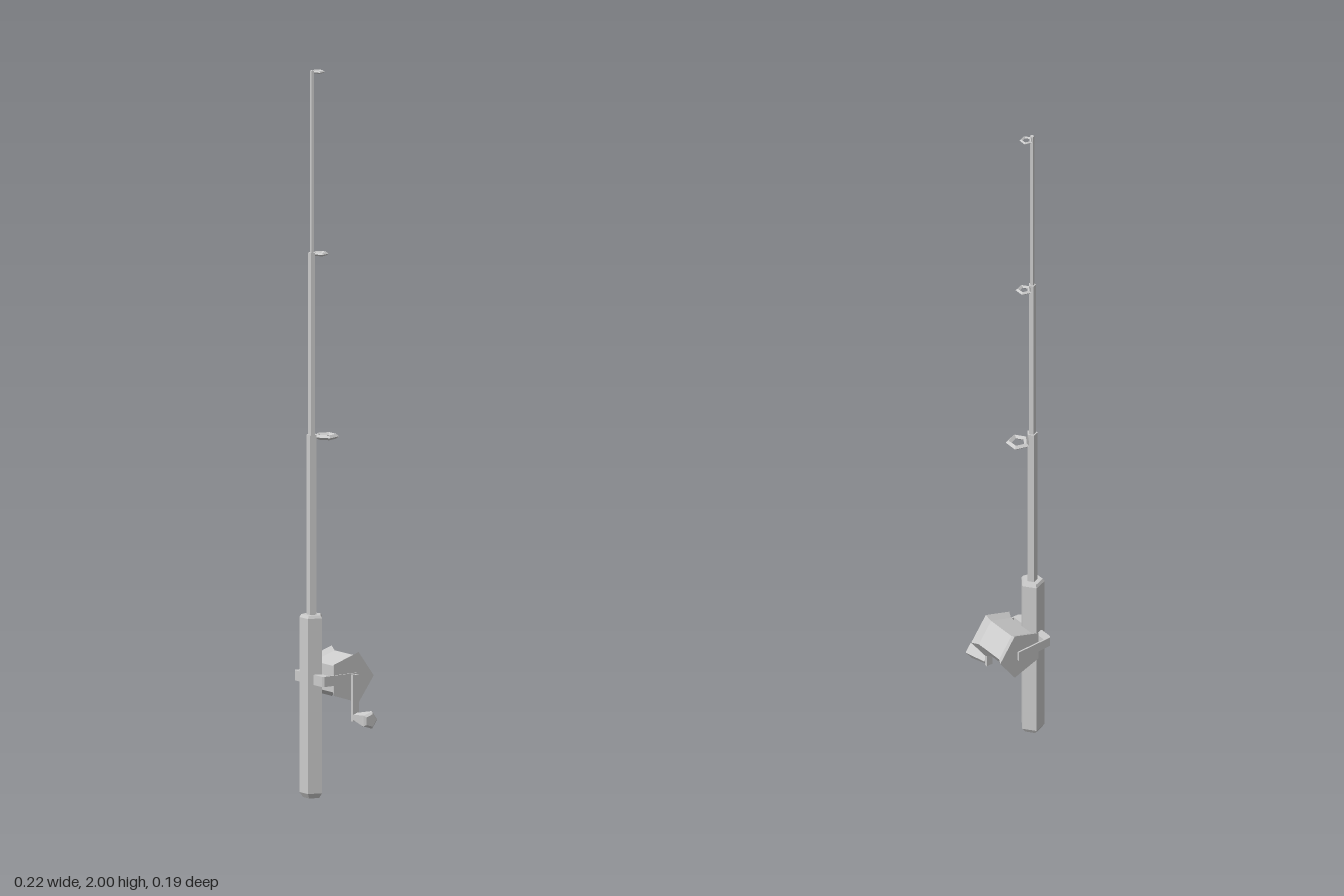
import * as THREE from 'three';

const RX = -0.043, RZ = 0.0655; // rod axis
const SX = -0.0425, RY = 0.33, SZ = -0.022; // reel centre

export function createModel() {
  const root = new THREE.Group();
  const mat = new THREE.MeshStandardMaterial({ color: 0xcccccc, flatShading: true, side: THREE.DoubleSide });

  const add = (name, geo, x, y, z, parent = root) => {
    const m = new THREE.Mesh(geo, mat);
    m.name = name;
    m.position.set(x, y, z);
    parent.add(m);
    return m;
  };
  // five-sided turned solid from [radius, height] pairs, first corner towards +z
  const turned = (pts) => new THREE.LatheGeometry(pts.map((p) => new THREE.Vector2(p[0], p[1])), 5);
  // the same solid laid along +x, first corner towards -z
  const turnedX = (pts) => turned(pts).rotateY(Math.PI).rotateZ(-Math.PI / 2);

  // grip, flat side to the front, bevelled at the butt
  add('grip', turned([[0, 0], [0.024, 0], [0.034, 0.014], [0.034, 0.495], [0.029, 0.503], [0, 0.503]]).rotateY(Math.PI), RX, 0.003, RZ);

  // telescoping rod sections
  [[0.015, 0.5, 1.0], [0.0105, 1.0, 1.5], [0.006, 1.5, 2.0]].forEach(([r, y0, y1], i) => {
    add('rodSection' + (i + 1), turned([[0, y0], [r, y0], [r, y1], [0, y1]]).rotateY(Math.PI), RX, 0, RZ);
  });

  // line guides behind the rod, corner towards the rod
  [[0.035, 0.0085, 0.99, 0.018], [0.023, 0.006, 1.494, 0.038], [0.019, 0.0045, 1.995, 0.046]].forEach(([r, t, y, z], i) => {
    const ring = new THREE.TorusGeometry(r - t, t, 4, 5).rotateX(Math.PI / 2).rotateY(-Math.PI / 2).scale(1, 0.8, 1);
    add('lineGuide' + (i + 1), ring, RX, y, z);
  });

  const reel = new THREE.Group();
  reel.name = 'reel';
  root.add(reel);

  // flared spool
  add('spool', turnedX([[0, -0.0625], [0.073, -0.0625], [0.062, -0.044], [0.062, 0.044], [0.073, 0.0625], [0, 0.0625]]), SX, RY, SZ, reel);

  // U-shaped bracket, outlined from above and extruded upwards
  const outline = [[-0.068, 0.035], [-0.068, -0.073], [-0.063, -0.078], [0.063, -0.078], [0.068, -0.073], [0.068, 0.035],
    [0.0635, 0.035], [0.0635, -0.055], [-0.0635, -0.055], [-0.0635, 0.035]];
  const shape = new THREE.Shape(outline.map((p) => new THREE.Vector2(p[0], p[1])));
  const bracket = new THREE.ExtrudeGeometry(shape, { depth: 0.028, bevelEnabled: false }).translate(0, 0, -0.014).rotateX(-Math.PI / 2);
  add('bracket', bracket, SX, RY, 0, reel);

  // crank with its axle and tapered knob
  add('crankAxle', turnedX([[0, 0], [0.007, 0], [0.007, 0.02], [0, 0.02]]), 0.017, RY, SZ, reel);
  add('crankArm', new THREE.BoxGeometry(0.009, 0.128, 0.02), 0.0355, 0.278, SZ, reel);
  add('crankKnob', turnedX([[0, 0], [0.012, 0], [0.025, 0.058], [0.025, 0.063], [0.018, 0.069], [0, 0.069]]), 0.04, 0.226, SZ, reel);

  return root;
}
